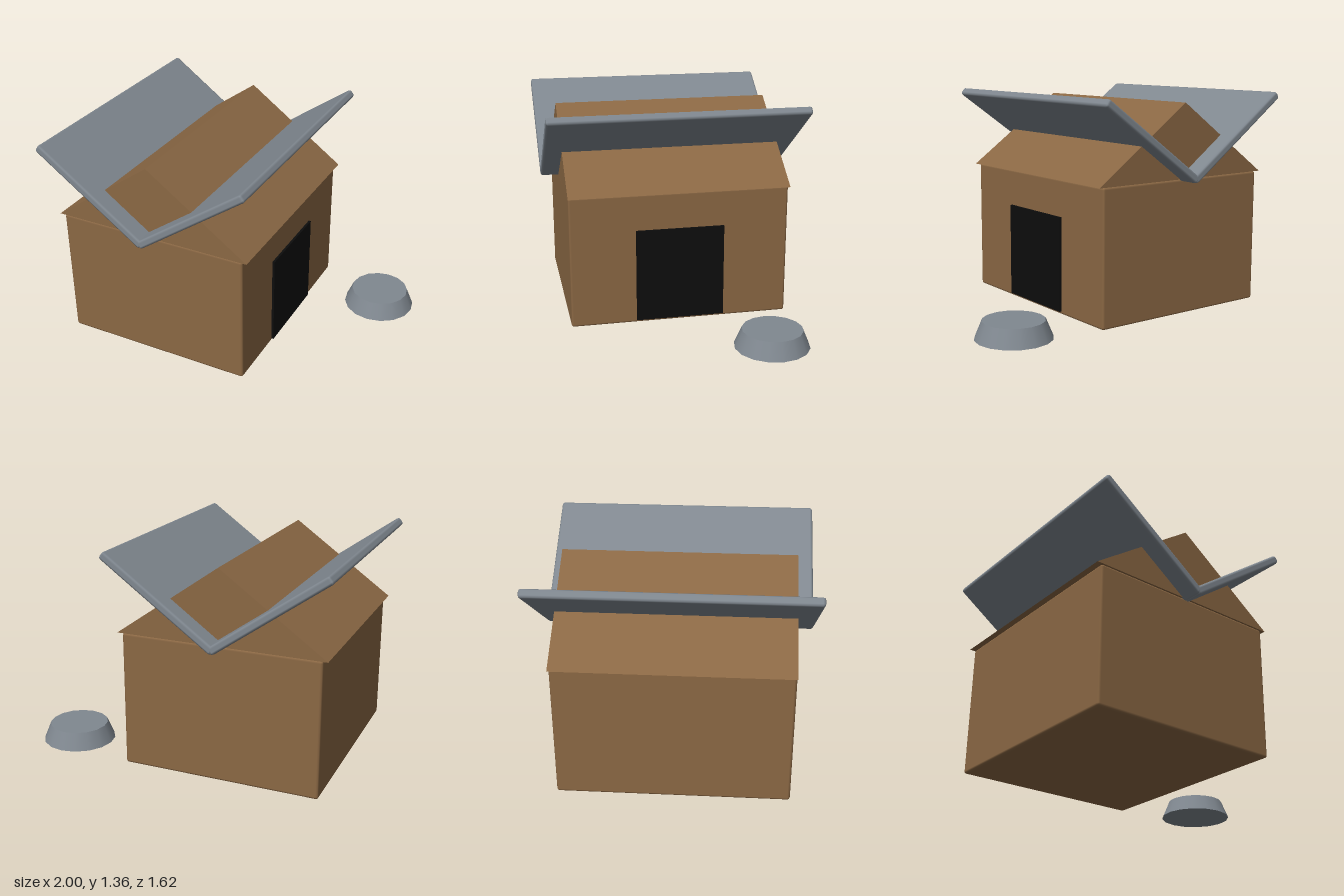
import * as THREE from 'three';
import { RoundedBoxGeometry } from 'three/addons/geometries/RoundedBoxGeometry.js';

const CENTER_X = -0.31; // ridge line of the house

export function createModel() {
  const root = new THREE.Group();
  root.name = 'kennelAndBowl';

  const paint = (name, color) => {
    const m = new THREE.MeshStandardMaterial({ color });
    m.name = name;
    return m;
  };
  const wood = paint('brownWood', 0x8b6844);
  const grey = paint('greyMetal', 0x808890);
  const black = paint('blackOpening', 0x0d0d0d);

  const add = (name, geometry, material, x, y, z) => {
    const mesh = new THREE.Mesh(geometry, material);
    mesh.name = name;
    mesh.position.set(x, y, z);
    root.add(mesh);
    return mesh;
  };

  // House body with chamfered edges
  add('houseBody', new RoundedBoxGeometry(1.23, 0.84, 1.38, 1, 0.015), wood, CENTER_X, 0.43, 0);

  // Triangular attic prism, slightly wider than the walls
  const gable = new THREE.Shape([
    new THREE.Vector2(-0.645, 0),
    new THREE.Vector2(0.645, 0),
    new THREE.Vector2(0, 0.46),
  ]);
  const gableGeometry = new THREE.ExtrudeGeometry(gable, { depth: 1.385, bevelEnabled: false });
  gableGeometry.translate(0, 0, -0.6925);
  add('gable', gableGeometry, wood, CENTER_X, 0.85, 0);

  // Two roof panels rising outwards in a V
  for (const [name, side] of [['leftRoofPanel', 1], ['rightRoofPanel', -1]]) {
    const panel = add(name, new RoundedBoxGeometry(0.845, 0.052, 1.615, 1, 0.016), grey,
      CENTER_X + side * 0.334, 1.097, 0);
    panel.rotation.z = side * 0.62;
  }

  // Dark doorway on the left wall
  add('doorway', new THREE.BoxGeometry(0.03, 0.59, 0.555), black, 0.305, 0.325, 0.002);

  // Solid tapered bowl
  add('bowl', new THREE.CylinderGeometry(0.185, 0.23, 0.108, 16), grey, 0.77, 0.054, -0.463);

  return root;
}
